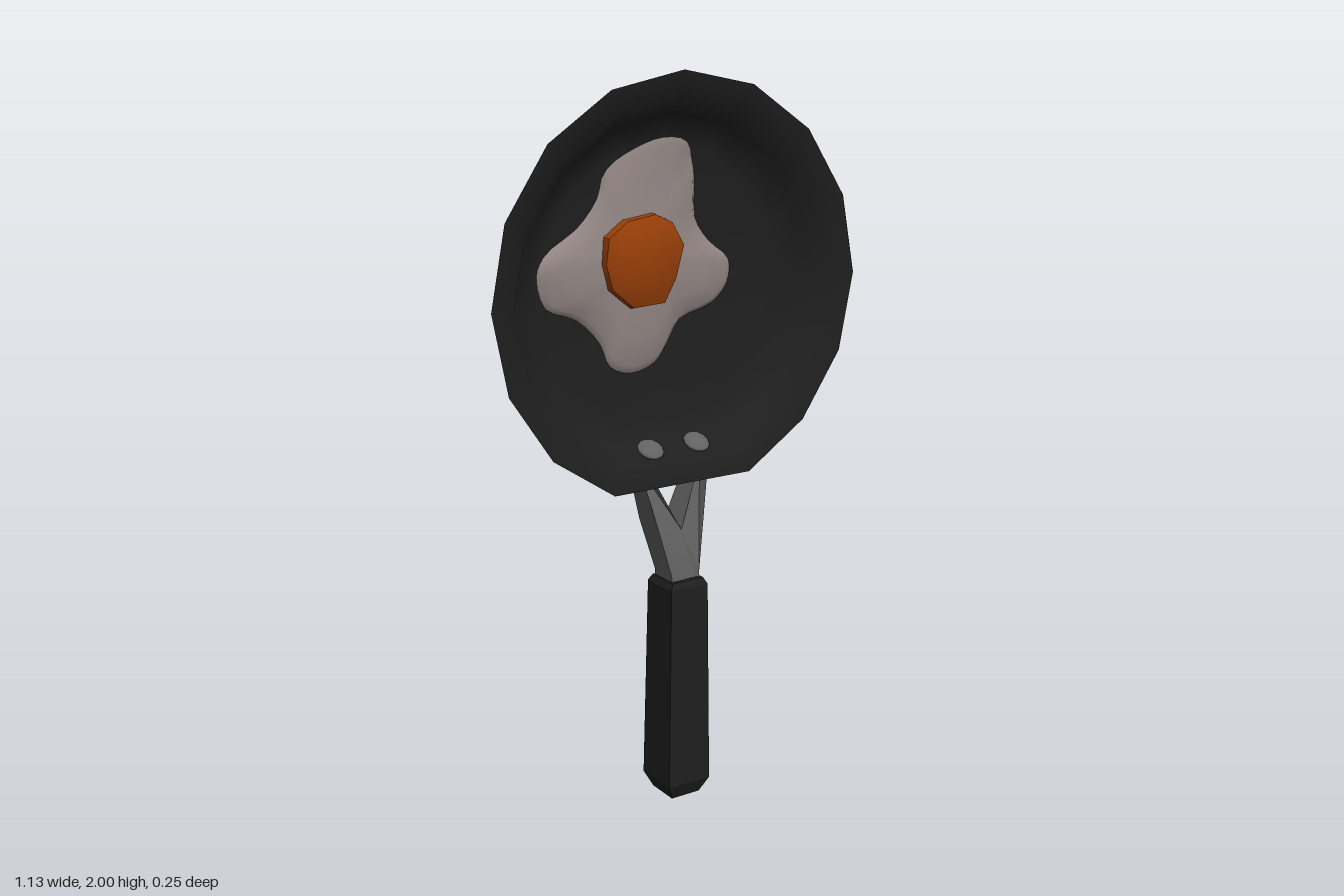
import * as THREE from 'three';
import { toCreasedNormals } from 'three/addons/utils/BufferGeometryUtils.js';

const mat = (name, color) => {
  const m = new THREE.MeshStandardMaterial({ color });
  m.name = name;
  return m;
};

// Skin between closed rings of [x, y, z] points, counter-clockwise about the stacking direction
function loft(rings, crease) {
  const n = rings[0].length, index = [];
  for (let r = 0; r < rings.length - 1; r++) {
    for (let i = 0; i < n; i++) {
      const a = r * n + i, b = r * n + (i + 1) % n;
      index.push(a, b, b + n, a, b + n, a + n);
    }
  }
  const g = new THREE.BufferGeometry();
  g.setAttribute('position', new THREE.Float32BufferAttribute(rings.flat(2), 3));
  g.setIndex(index);
  g.computeVertexNormals();
  return crease ? toCreasedNormals(g, crease) : g;
}

// Sixteen-sided dish facing +z, with its lowest corner pulled up flat, most at the rim
function dish(profile) {
  const g = new THREE.LatheGeometry(profile.map(p => new THREE.Vector2(...p)), 16);
  g.rotateX(Math.PI / 2);
  const p = g.attributes.position;
  for (let i = 0; i < p.count; i++) {
    if (Math.abs(p.getX(i)) < 1e-3 && p.getY(i) < -0.01) {
      p.setY(i, p.getY(i) * (0.935 - 0.13 * p.getZ(i)));
    }
  }
  return g;
}

// Mound over an outline: each level is [scale about the centre, z]
function mound(outline, [cx, cy], levels, crease) {
  return loft(levels.map(([s, z]) => outline.map(([x, y]) => {
    const px = cx + (x - cx) * s, py = cy + (y - cy) * s;
    return [px, py, z + 0.5 * Math.max(0, Math.hypot(px, py) - 0.34)];
  })), crease);
}

// Piecewise linear lookup in [[y, value], ...]
function lookup(table, y) {
  let i = 0;
  while (i < table.length - 2 && y > table[i + 1][0]) i++;
  const [y0, v0] = table[i], [y1, v1] = table[i + 1];
  return v0 + (v1 - v0) * (y - y0) / (y1 - y0);
}

export function createModel() {
  const model = new THREE.Group();
  model.name = 'fryingPan';
  // Everything is turned very slightly about the vertical
  const body = new THREE.Group();
  body.name = 'body';
  body.rotation.y = 0.04;
  model.add(body);

  const dark = mat('dark coating', 0x1f1f1f);
  const grey = mat('grey metal', 0x616161);
  const white = mat('egg white', 0x938785);
  const orange = mat('yolk orange', 0x983f08);
  const add = (parent, name, geometry, material) => {
    const m = new THREE.Mesh(geometry, material);
    m.name = name;
    parent.add(m);
    return m;
  };

  // Pan: thick floor and a wide sloping rim
  const pan = new THREE.Group();
  pan.name = 'pan';
  pan.position.y = 1.435;
  body.add(pan);
  add(pan, 'panOutside', dish([[0, -0.11], [0.347, -0.11], [0.443, -0.07], [0.565, 0.0875]]), grey);
  add(pan, 'panInside', dish([[0.565, 0.0875], [0.495, 0.075], [0.455, 0.025],
    [0.37, -0.035], [0, -0.035]]), dark);

  // Fried egg
  const whiteCurve = new THREE.CatmullRomCurve3([
    [0, .39], [.075, .375], [.11, .30], [.115, .17], [.16, .105], [.225, .05], [.22, -.015],
    [.17, -.065], [.065, -.1], [.025, -.16], [-.015, -.21], [-.09, -.23], [-.155, -.205],
    [-.185, -.14], [-.255, -.07], [-.35, -.03], [-.385, .06], [-.36, .105], [-.255, .165],
    [-.19, .24], [-.165, .315], [-.085, .365],
  ].reverse().map(([x, y]) => new THREE.Vector3(x, y, 0)), true);
  const whiteOutline = whiteCurve.getPoints(66).slice(0, -1).map(v => [v.x, v.y]);
  add(pan, 'eggWhite', mound(whiteOutline, [-0.07, 0.08],
    [[1, -0.034], [0.93, -0.02], [0.7, -0.01], [0.35, -0.003], [0, 0]]), white);
  const yolkOutline = [
    [-.04, .2], [.015, .175], [.053, .11], [.027, .02], [-.01, -.045],
    [-.11, -.05], [-.177, .005], [-.197, .075], [-.187, .145], [-.13, .187],
  ].reverse();
  add(pan, 'yolk', mound(yolkOutline, [-0.075, 0.08],
    [[1, -0.02], [0.96, 0.015], [0.65, 0.032], [0, 0.038]], 0.5), orange);

  // Rivets lying on the steep inner wall
  for (const side of [-1, 1]) {
    const rivet = add(pan, side > 0 ? 'leftRivet' : 'rightRivet',
      new THREE.SphereGeometry(0.038, 12, 8), grey);
    rivet.scale.y = 0.3;
    rivet.rotation.x = 0.55;
    rivet.position.set(side * 0.074, -0.427, 0.038);
  }

  // Forked bracket: flat outline with a triangular hole, bent to meet the outer wall
  const outline = [[0.045, 0.6], [0.045, 0.66], [0.075, 0.8], [0.106, 0.94], [0.11, 0.985]];
  const shape = new THREE.Shape([
    ...outline, ...outline.map(([x, y]) => [-x, y]).reverse(),
  ].map(p => new THREE.Vector2(...p)));
  shape.holes.push(new THREE.Path([[0, 0.78], [-0.08, 0.945], [0.08, 0.945]]
    .map(p => new THREE.Vector2(...p))));
  const fork = new THREE.ExtrudeGeometry(shape, { depth: 1, bevelEnabled: false });
  const front = [[0.6, 0.1], [0.66, 0.097], [0.8, 0.073], [0.94, 0.047], [0.985, 0]];
  const back = [[0.6, 0.02], [0.66, 0.013], [0.8, -0.018], [0.985, -0.022]];
  const p = fork.attributes.position;
  for (let i = 0; i < p.count; i++) {
    p.setZ(i, lookup(p.getZ(i) > 0.5 ? front : back, p.getY(i)));
  }
  add(body, 'forkBracket', toCreasedNormals(fork, 0.3), grey);

  // Grip: tapered square bar with chamfered ends, as [y, half width, back z, front z]
  const grip = [
    [0, 0, 0.05, 0.05], [0, 0.045, 0.003, 0.1], [0.045, 0.067, -0.014, 0.12],
    [0.625, 0.059, 0, 0.118], [0.643, 0.05, 0.01, 0.109], [0.643, 0, 0.06, 0.06],
  ].map(([y, w, z0, z1]) => [[w, y, z1], [w, y, z0], [-w, y, z0], [-w, y, z1]]);
  add(body, 'grip', loft(grip, 0.2), dark);

  return model;
}
